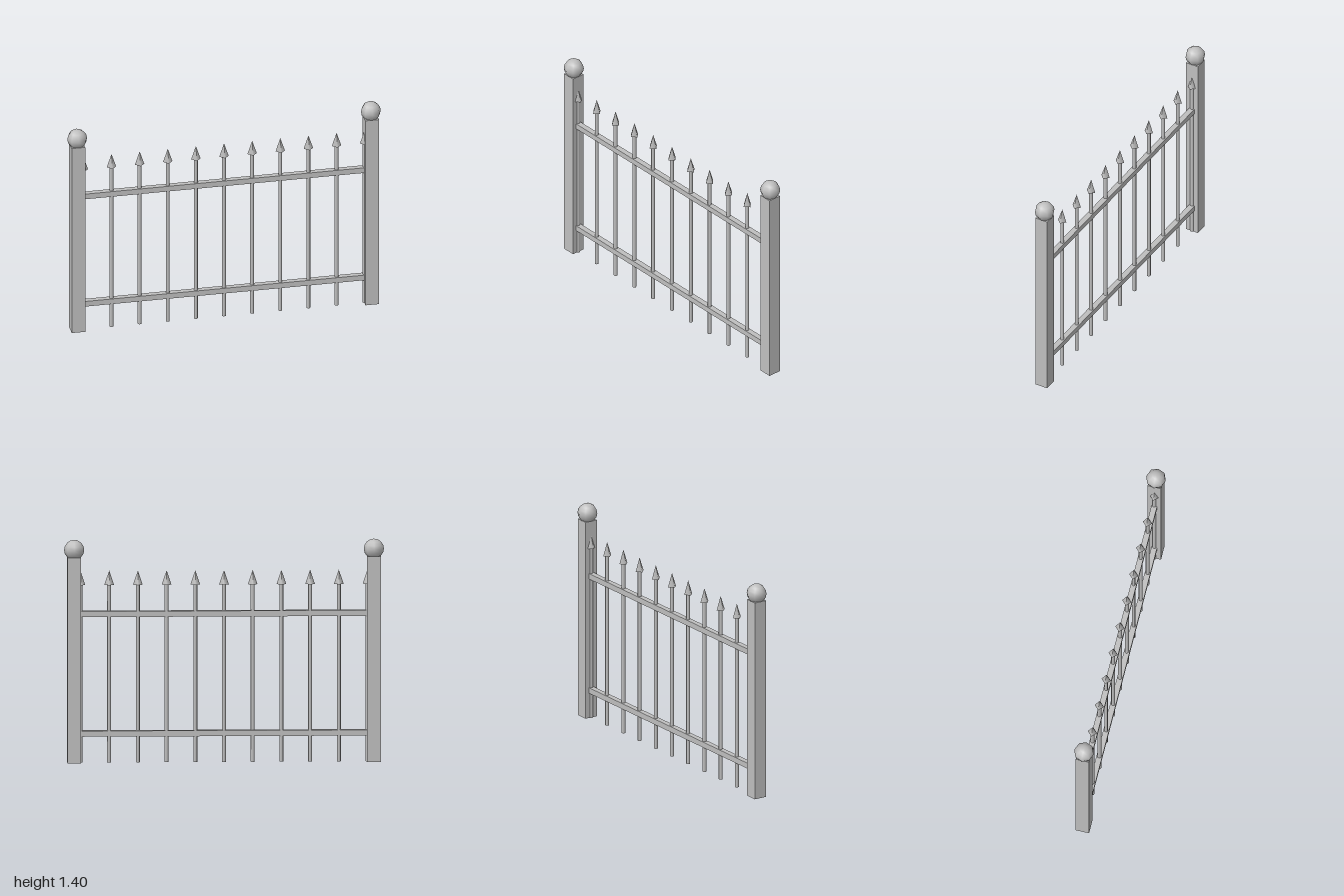
import * as THREE from 'three';

export function createModel() {
  const model = new THREE.Group();
  model.name = 'fence';
  const iron = new THREE.MeshStandardMaterial({ color: 0xbfbfbf });
  iron.name = 'greyIron';

  const add = (name, geometry, x, y) => {
    const mesh = new THREE.Mesh(geometry, iron);
    mesh.name = name;
    mesh.position.set(x, y, 0);
    model.add(mesh);
  };

  // End posts with ball caps
  const postHeight = 1.297;
  const postGeometry = new THREE.BoxGeometry(0.086, postHeight, 0.086);
  const ballGeometry = new THREE.SphereGeometry(0.063, 8, 8);
  for (const [side, x] of [['left', 0.937], ['right', -0.937]]) {
    add(`${side}Post`, postGeometry, x, postHeight / 2);
    add(`${side}PostBall`, ballGeometry, x, 1.341);
  }

  // Horizontal rails
  const railGeometry = new THREE.BoxGeometry(1.8, 0.036, 0.036);
  add('lowerRail', railGeometry, 0, 0.182);
  add('upperRail', railGeometry, 0, 0.937);

  // Pickets with four-sided spear tips; the outermost pair sits against the posts
  const picketHeight = 1.12;
  const tipHeight = 0.09;
  const picketGeometry = new THREE.CylinderGeometry(0.0125, 0.0125, picketHeight, 8);
  const tipGeometry = new THREE.ConeGeometry(0.03, tipHeight, 4);
  for (let i = -5; i <= 5; i++) {
    const x = i * 0.1795;
    add('picket', picketGeometry, x, picketHeight / 2);
    add('spearTip', tipGeometry, x, picketHeight + tipHeight / 2);
  }
  return model;
}
